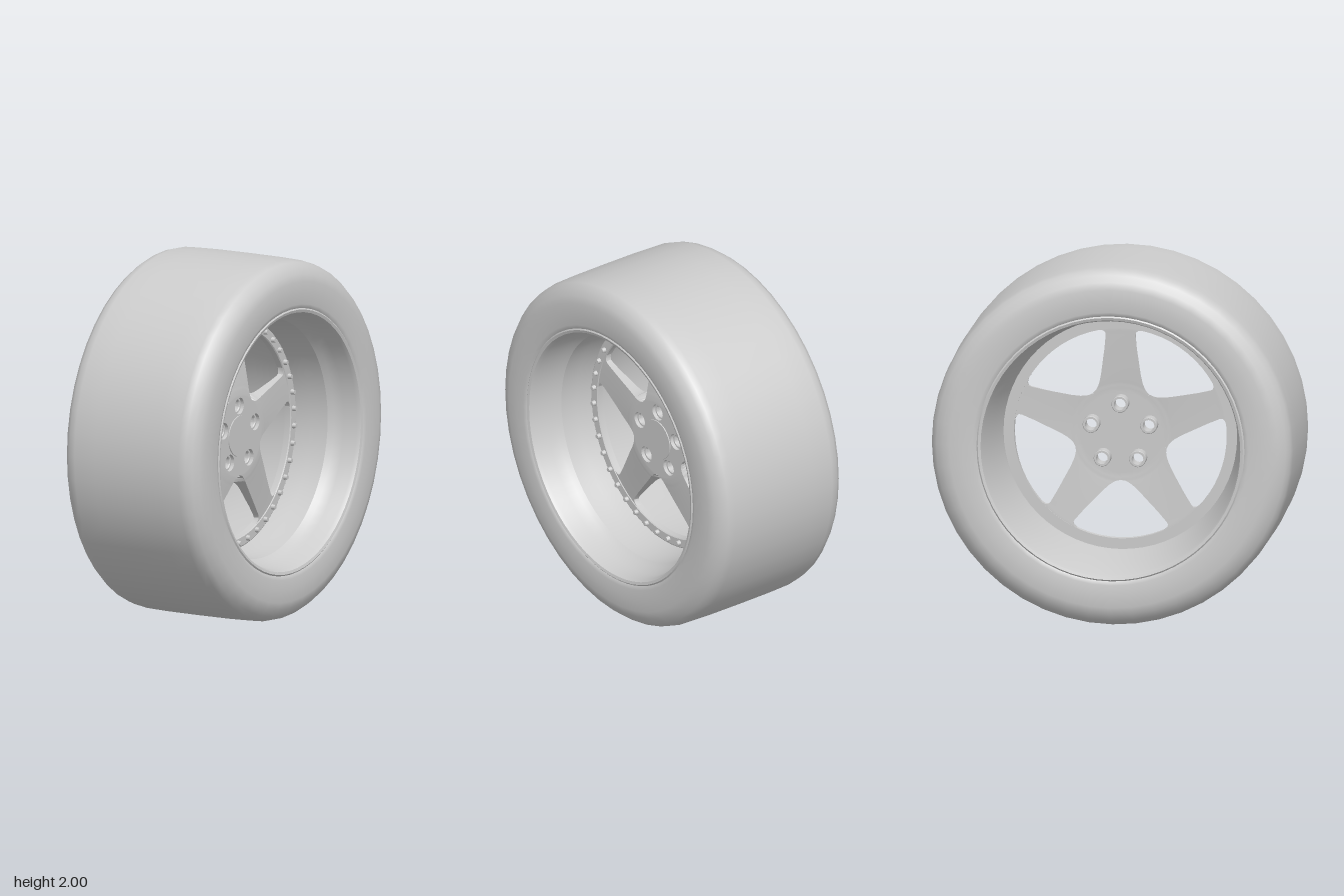
import * as THREE from 'three';
import { mergeVertices, toCreasedNormals } from 'three/addons/utils/BufferGeometryUtils.js';

const material = new THREE.MeshStandardMaterial({ color: 0xcccccc });
const thin = new THREE.MeshStandardMaterial({ color: 0xcccccc, side: THREE.DoubleSide });
const rad = THREE.MathUtils.degToRad;

function mesh(name, geometry, mat = material) {
  const m = new THREE.Mesh(geometry, mat);
  m.name = name;
  return m;
}

// Revolves [radius, depth] points about the z axis (the axle while building)
function turned(points, segments, crease) {
  const g = new THREE.LatheGeometry(points.map(p => new THREE.Vector2(...p)), segments);
  g.rotateX(Math.PI / 2);
  return crease ? toCreasedNormals(g, crease) : g;
}

// One spoke: sections [radius, front half angle, back half angle, front depth, back depth]
function spokeGeometry() {
  const stations = [
    [0.212, 36, 36, 0.1, 0.05], [0.22, 35.9, 36, 0.1, 0.05], [0.225, 31, 36, 0.1, 0.05],
    [0.235, 27.5, 36, 0.099, 0.05], [0.25, 24.5, 36, 0.098, 0.049], [0.265, 22.5, 35.9, 0.096, 0.048],
    [0.27, 22, 31, 0.095, 0.048], [0.28, 21, 27.5, 0.094, 0.047], [0.3, 19.3, 23.5, 0.091, 0.045],
    [0.34, 16.4, 18.8, 0.086, 0.042], [0.4, 13, 14.6, 0.078, 0.037], [0.48, 10, 10.7, 0.068, 0.032],
    [0.55, 8.3, 8.6, 0.06, 0.027], [0.568, 8.4, 8.6, 0.058, 0.026], [0.579, 9.6, 9.8, 0.057, 0.025],
    [0.587, 12.5, 12.7, 0.056, 0.025], [0.6, 13, 13.2, 0.055, 0.025],
  ];
  const n = 6, loop = 2 * (n + 1), positions = [], index = [];
  for (const [r, front, back, zf, zb] of stations) {
    for (let k = 0; k < loop; k++) {
      const isFront = k <= n;
      const t = isFront ? -1 + 2 * k / n : 1 - 2 * (k - n - 1) / n;
      const a = Math.PI / 2 + rad(t * (isFront ? front : back));
      positions.push(r * Math.cos(a), r * Math.sin(a), isFront ? zf : zb);
    }
  }
  for (let i = 0; i < stations.length - 1; i++) {
    for (let j = 0; j < loop; j++) {
      const a = i * loop + j, d = i * loop + (j + 1) % loop;
      index.push(a, a + loop, d + loop, a, d + loop, d);
    }
  }
  const g = new THREE.BufferGeometry();
  g.setAttribute('position', new THREE.Float32BufferAttribute(positions, 3));
  g.setIndex(index);
  return toCreasedNormals(mergeVertices(g), rad(35));
}

export function createModel() {
  const root = new THREE.Group();
  root.name = 'wheel';
  const wheel = new THREE.Group();
  wheel.name = 'wheelAssembly';

  // Tyre: rounded shoulders and nearly flat sidewalls, mirrored about the middle
  const half = [
    [0.715, 0.405], [0.735, 0.43], [0.76, 0.439], [0.82, 0.441], [0.885, 0.441],
    [0.925, 0.427], [0.962, 0.405], [0.985, 0.375], [0.995, 0.335], [0.999, 0.2],
  ];
  const tyreProfile = [
    ...half.map(([r, z]) => [r, -z]), [1, 0], ...half.slice().reverse(),
  ];
  wheel.add(mesh('tyre', turned(tyreProfile, 48), thin));

  // Rim barrel: stepped deep lip in front, plain taper behind
  wheel.add(mesh('rimBarrel', turned([
    [0.745, 0.425], [0.73, 0.437], [0.715, 0.432], [0.705, 0.41], [0.7, 0.33],
    [0.68, 0.28], [0.662, 0.25], [0.655, 0.15], [0.642, 0.045], [0.645, 0],
    [0.675, -0.2], [0.705, -0.4], [0.715, -0.432], [0.73, -0.437], [0.745, -0.425],
  ], 64, rad(25)), thin));

  // Flat ring carrying the spokes
  wheel.add(mesh('spokeRing', turned([
    [0.645, 0.02], [0.645, 0.055], [0.637, 0.06], [0.59, 0.06],
    [0.585, 0.055], [0.585, 0.02], [0.645, 0.02],
  ], 64, rad(30)), thin));

  // Bolts around the ring
  const boltGeometry = new THREE.CylinderGeometry(0.012, 0.016, 0.022, 8).rotateX(Math.PI / 2);
  for (let i = 0; i < 40; i++) {
    const a = rad(4.5 + 9 * i);
    const bolt = mesh('ringBolt', boltGeometry);
    bolt.position.set(0.612 * Math.cos(a), 0.612 * Math.sin(a), 0.069);
    wheel.add(bolt);
  }

  // Hub plate with five through holes
  const hubShape = new THREE.Shape().absarc(0, 0, 0.22, 0, Math.PI * 2);
  const spoke = spokeGeometry();
  const lugTube = turned([
    [0.032, -0.015], [0.043, -0.015], [0.046, -0.01], [0.046, 0.08],
    [0.036, 0.08], [0.032, 0.075], [0.032, -0.015],
  ], 20, rad(30));
  for (let i = 0; i < 5; i++) {
    const turn = i * Math.PI * 2 / 5, a = turn + Math.PI / 2;
    const x = 0.167 * Math.cos(a), y = 0.167 * Math.sin(a);
    hubShape.holes.push(new THREE.Path().absarc(x, y, 0.046, 0, Math.PI * 2, true));
    const s = mesh('spoke', spoke);
    s.rotation.z = turn;
    const tube = mesh('lugTube', lugTube, thin);
    tube.position.set(x, y, 0);
    wheel.add(s, tube);
  }
  const hub = new THREE.ExtrudeGeometry(hubShape, { depth: 0.05, bevelEnabled: false, curveSegments: 30 });
  hub.translate(0, 0, 0.05);
  wheel.add(mesh('hubPlate', toCreasedNormals(hub, rad(30))));

  // Centre cap, slightly proud of the hub
  const cap = new THREE.CylinderGeometry(0.113, 0.117, 0.03, 40).rotateX(Math.PI / 2);
  cap.translate(0, 0, 0.09);
  wheel.add(mesh('centreCap', cap));

  // Turn the axle along x and stand the wheel on the ground
  wheel.rotation.y = Math.PI / 2;
  wheel.position.y = 1;
  root.add(wheel);
  return root;
}
